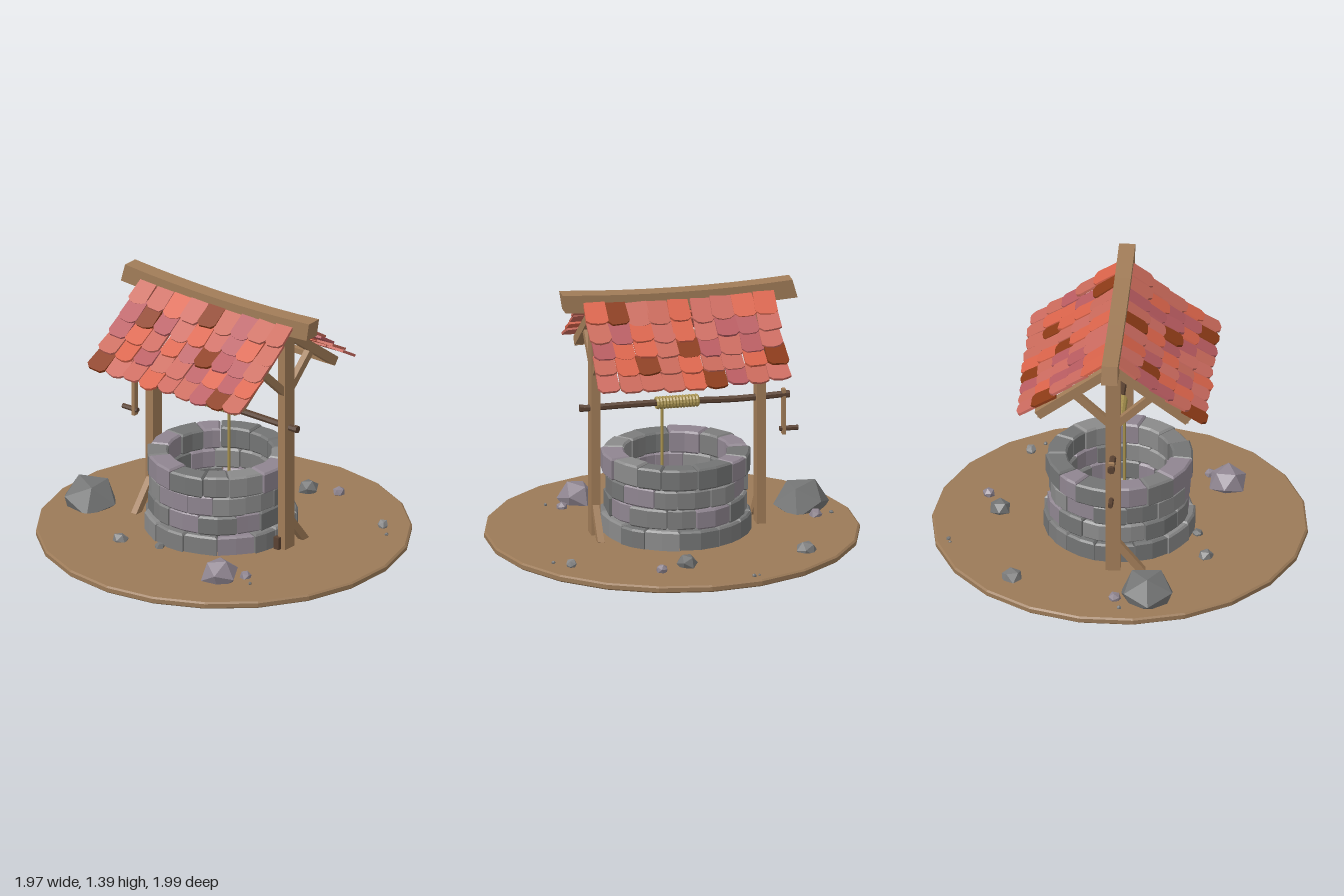
import * as THREE from 'three';

let seed = 7;
const rnd = () => (seed = (seed * 16807) % 2147483647) / 2147483647;
const jit = (a) => (rnd() * 2 - 1) * a;

const mat = (color) => new THREE.MeshStandardMaterial({ color, flatShading: true });
const WOOD = mat(0xa17c58), EARTH = mat(0x9b7a58), DARK_WOOD = mat(0x5a4232), ROPE = mat(0xa8924f);
const STONES = [0x7c7c7c, 0x8a8a8a, 0x737474, 0x8f8590].map(mat);
const TILES = [0xd9634a, 0xc9695a, 0xb85b60, 0xcb6a5f].map(mat);
const DARK_TILE = mat(0x8b3a16);

function add(parent, name, geo, material, x = 0, y = 0, z = 0) {
  const m = new THREE.Mesh(geo, material);
  m.name = name;
  m.position.set(x, y, z);
  parent.add(m);
  return m;
}

// Square timber running from point a to point b
function beam(parent, name, a, b, w, h, material = WOOD) {
  const p = new THREE.Vector3(...a), q = new THREE.Vector3(...b);
  const m = add(parent, name, new THREE.BoxGeometry(w, h, p.distanceTo(q)), material);
  m.position.copy(p).add(q).multiplyScalar(0.5);
  m.lookAt(q);
}

// Bevelled stone block following a ring
function brickGeometry(a0, a1, r0, r1, h) {
  const s = new THREE.Shape(), n = 2, bevel = 0.01;
  for (let i = 0; i <= n; i++) {
    const a = a0 + (a1 - a0) * i / n, r = r1 + jit(0.006);
    s[i ? 'lineTo' : 'moveTo'](Math.cos(a) * r, Math.sin(a) * r);
  }
  for (let i = n; i >= 0; i--) {
    const a = a0 + (a1 - a0) * i / n;
    s.lineTo(Math.cos(a) * r0, Math.sin(a) * r0);
  }
  const g = new THREE.ExtrudeGeometry(s, {
    depth: h - 2 * bevel, bevelThickness: bevel, bevelSize: bevel, bevelOffset: -bevel, bevelSegments: 1,
  });
  return g.rotateX(-Math.PI / 2).translate(0, bevel, 0);
}

function buildWell(root) {
  const well = new THREE.Group();
  well.name = 'wellWall';
  well.position.x = -0.022;
  root.add(well);
  // Each course: bottom, height, outer radius
  [[0.04, 0.113, 0.4], [0.153, 0.11, 0.372], [0.263, 0.11, 0.372], [0.373, 0.118, 0.387]].forEach(([y, h, r], row) => {
    const n = 13, step = Math.PI * 2 / n;
    const cuts = Array.from({ length: n }, (_, i) => (i + row * 0.5) * step + jit(0.08));
    cuts.push(cuts[0] + Math.PI * 2);
    for (let i = 0; i < n; i++) {
      const geo = brickGeometry(cuts[i] + 0.005, cuts[i + 1] - 0.005, 0.275 + jit(0.008), r + jit(0.008), h + jit(0.004));
      add(well, 'wallStone', geo, STONES[Math.floor(rnd() * 4)], 0, y, 0);
    }
  });
}

// Roof tile: hangs down from its top edge, with a ragged rounded lower end
function tileGeometry(w, l) {
  const s = new THREE.Shape(), x = w / 2;
  s.moveTo(-x * 0.94, 0);
  s.lineTo(-x, -l * 0.85 + jit(0.006));
  s.lineTo(-x * 0.6, -l + jit(0.005));
  s.lineTo(x * jit(0.2), -l - 0.004 + jit(0.005));
  s.lineTo(x * 0.65, -l + jit(0.005));
  s.lineTo(x, -l * 0.87 + jit(0.006));
  s.lineTo(x * 0.94, 0);
  return new THREE.ExtrudeGeometry(s, { depth: 0.014, bevelEnabled: false });
}

function buildRoofSide(root, name, turn, darkOnes) {
  const side = new THREE.Group();
  side.name = name;
  side.position.set(-0.02, 0, -0.01);
  side.rotation.y = turn;
  root.add(side);
  const rows = 5, cols = 9, pitch = 1.03 / cols;
  const curve = (t) => [0.03 + 0.43 * t, 1.345 - 0.385 * t + 0.05 * t * t];
  for (let r = 0; r < rows; r++) {
    const [z0, y0] = curve(r / rows), [z1, y1] = curve((r + 1) / rows);
    const slope = Math.atan2(y0 - y1, z1 - z0) - 0.1;
    const length = Math.hypot(z1 - z0, y1 - y0) + 0.035;
    for (let c = 0; c < cols; c++) {
      const x = (c - 4) * pitch;
      const sag = 0.02 * (1 - (x / 0.52) ** 2);
      const material = darkOnes.includes(r * 10 + c) ? DARK_TILE : TILES[Math.floor(rnd() * 4)];
      const tile = add(side, 'roofTile', tileGeometry(pitch + 0.004 + jit(0.004), length + jit(0.008)), material,
        x + jit(0.006), y0 - sag + jit(0.004), z0);
      tile.rotation.set(slope - Math.PI / 2 + jit(0.04), jit(0.05), jit(0.04));
    }
  }
}

function buildFrame(root) {
  const frame = new THREE.Group();
  frame.name = 'timberFrame';
  root.add(frame);
  for (const [x, foot] of [[-0.475, 1], [0.42, -1]]) {
    add(frame, 'post', new THREE.BoxGeometry(0.05, 1.3, 0.078), WOOD, x, 0.67, 0);
    beam(frame, 'footBrace', [x, 0.21, foot * 0.02], [x, 0.04, foot * 0.155], 0.035, 0.04);
    for (const s of [-1, 1]) {
      beam(frame, 'rafter', [x, 1.29, 0], [x, 0.99, s * 0.4], 0.046, 0.05);
      beam(frame, 'rafterBrace', [x, 0.95, s * 0.02], [x, 1.12, s * 0.2], 0.035, 0.04);
    }
  }
  add(frame, 'footWedge', new THREE.BoxGeometry(0.035, 0.075, 0.03), DARK_WOOD, 0.4, 0.08, 0.045);
  for (const s of [-1, 1]) {
    add(frame, 'eavePurlin', new THREE.BoxGeometry(0.93, 0.03, 0.03), WOOD, -0.028, 0.992, s * 0.385);
  }
  // Sagging ridge beam with slanted ends
  const g = new THREE.BoxGeometry(1.25, 0.1, 0.086, 8, 1, 1), p = g.attributes.position;
  for (let i = 0; i < p.count; i++) {
    const x = p.getX(i), y = p.getY(i), u = x / 0.625;
    p.setY(i, y - 0.024 * (1 - u * u));
    p.setX(i, x + y * (u < 0 ? 0.28 : 0.16) * Math.abs(u));
  }
  add(frame, 'ridgeBeam', g, WOOD, -0.03, 1.35, -0.007);
}

function buildWinch(root) {
  const winch = new THREE.Group();
  winch.name = 'winch';
  root.add(winch);
  const path = new THREE.CatmullRomCurve3([[-0.625, 0.752], [-0.35, 0.743], [-0.1, 0.75], [0.2, 0.752], [0.49, 0.748]]
    .map(([x, y]) => new THREE.Vector3(x, y, 0)));
  add(winch, 'axle', new THREE.TubeGeometry(path, 12, 0.018, 7), DARK_WOOD);
  for (const x of [-0.625, 0.49]) {
    add(winch, 'axleEnd', new THREE.CylinderGeometry(0.021, 0.021, 0.02, 7), DARK_WOOD, x, 0.75, 0).rotation.z = Math.PI / 2;
  }
  // Crank arm and handle
  add(winch, 'crankArm', new THREE.BoxGeometry(0.02, 0.25, 0.032), WOOD, -0.604, 0.655, 0);
  add(winch, 'crankHandle', new THREE.CylinderGeometry(0.014, 0.014, 0.1, 7), DARK_WOOD, -0.632, 0.56, 0).rotation.z = Math.PI / 2;
  // Wound rope and the hanging length
  for (let i = 0; i < 13; i++) {
    const ring = add(winch, 'ropeCoil', new THREE.TorusGeometry(0.025, 0.0105, 6, 12), ROPE, -0.132 + i * 0.0176, 0.75, 0);
    ring.rotation.y = Math.PI / 2 + 0.12;
  }
  add(winch, 'hangingRope', new THREE.CylinderGeometry(0.008, 0.008, 0.69, 6), ROPE, 0.05, 0.395, 0.02);
}

// Faceted rock, cut flat just under the ground
function rock(parent, x, z, r, top, k) {
  const g = new THREE.IcosahedronGeometry(1, 0), p = g.attributes.position;
  g.rotateY(x * 9).rotateX(0.3);
  const sy = r * 0.95, cy = top - sy * 0.93;
  for (let i = 0; i < p.count; i++) {
    const a = p.getX(i), b = p.getY(i), c = p.getZ(i);
    const wobble = 1 + 0.07 * Math.sin(a * 5 + b * 3 + c * 4 + x * 20);
    p.setXYZ(i, a * r * wobble, Math.max(b * sy * wobble, 0.006 - cy), c * r * wobble);
  }
  add(parent, 'rock', g, STONES[k], x, cy, z);
}

export function createModel() {
  seed = 7;
  const root = new THREE.Group();
  root.name = 'waterWell';

  const disc = [[0, 0.012], [0.985, 0.012], [0.995, 0.02], [0.995, 0.042], [0.985, 0.05], [0, 0.05]];
  add(root, 'ground', new THREE.LatheGeometry(disc.map(([x, y]) => new THREE.Vector2(x, y)), 22), EARTH);

  buildWell(root);
  buildFrame(root);
  buildWinch(root);
  buildRoofSide(root, 'frontRoof', 0, [4, 11, 25, 47, 40]);
  buildRoofSide(root, 'backRoof', Math.PI, [1, 24, 32, 38, 45]);

  const rocks = new THREE.Group();
  rocks.name = 'rocks';
  root.add(rocks);
  // x, z, radius, top height, stone colour
  [[-0.75, 0.2, 0.155, 0.21, 2], [0.4, 0.54, 0.1, 0.163, 3], [-0.785, 0.03, 0.036, 0.09, 3], [-0.875, 0.06, 0.013, 0.065, 2],
    [-0.61, -0.53, 0.06, 0.105, 0], [0.06, -0.64, 0.056, 0.115, 2], [0.21, -0.71, 0.035, 0.092, 3], [0.66, -0.52, 0.031, 0.09, 1],
    [0.74, -0.45, 0.011, 0.064, 2], [-0.32, 0.48, 0.045, 0.09, 0], [-0.1, 0.42, 0.03, 0.08, 2], [0.5, 0.44, 0.033, 0.085, 3],
    [0.575, 0.5, 0.01, 0.064, 2], [-0.25, -0.89, 0.013, 0.066, 2], [-0.28, -0.88, 0.008, 0.06, 2],
  ].forEach((r) => rock(rocks, ...r));
  return root;
}
